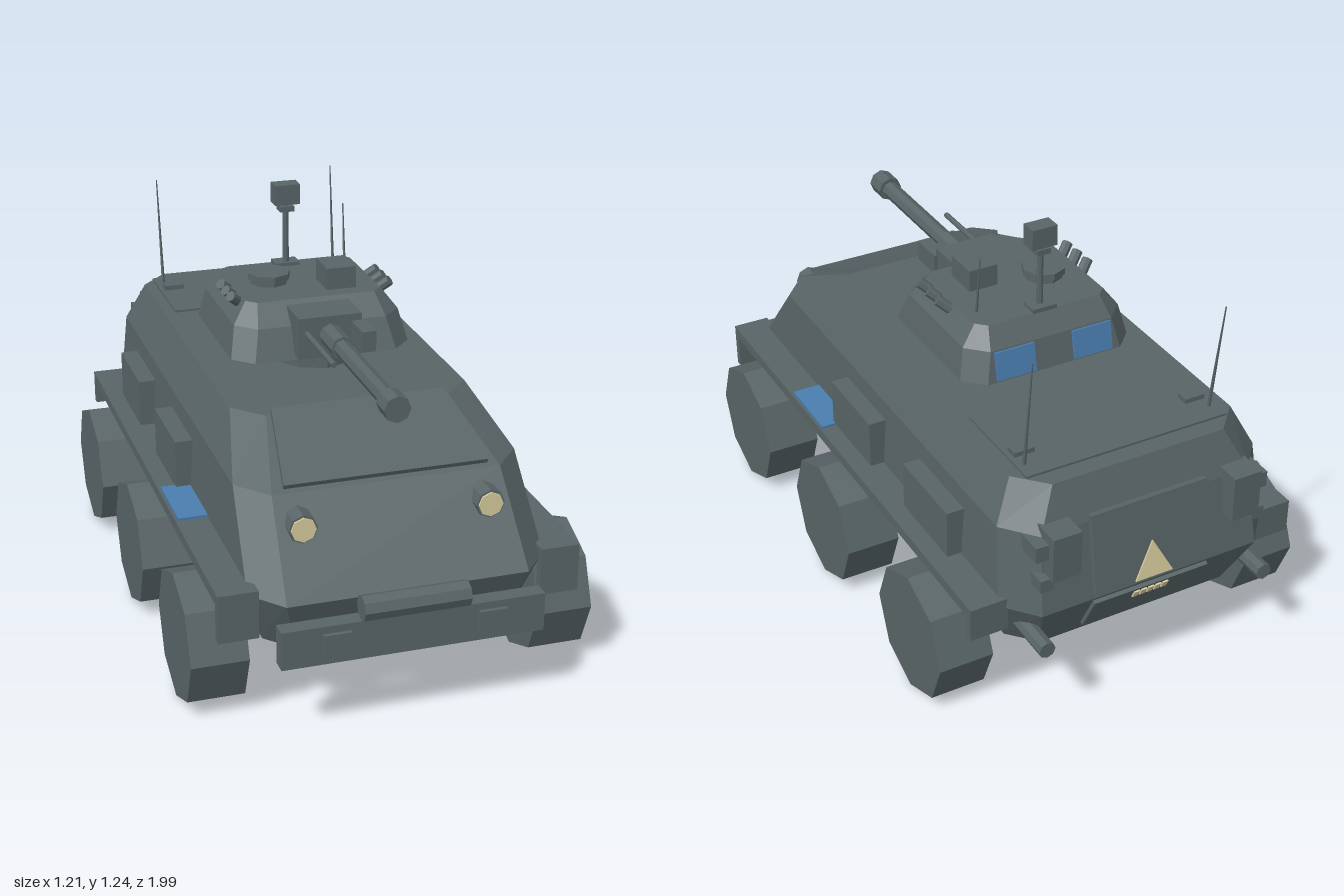
import * as THREE from 'three';

const armor = new THREE.MeshStandardMaterial({ color: 0x586466 });
armor.name = 'armorGrey';
const cream = new THREE.MeshStandardMaterial({ color: 0xd6ca9c });
cream.name = 'lampCream';
const blue = new THREE.MeshStandardMaterial({ color: 0x4a7dae });
blue.name = 'glassBlue';

// Faceted mesh with its own flat normals
function part(parent, name, geometry, material = armor) {
  const geo = geometry.index ? geometry.toNonIndexed() : geometry;
  geo.computeVertexNormals();
  const mesh = new THREE.Mesh(geo, material);
  mesh.name = name;
  parent.add(mesh);
  return mesh;
}

// Box given by its minimum and maximum on each axis
function box(parent, name, [x0, x1], [y0, y1], [z0, z1], material) {
  const geo = new THREE.BoxGeometry(Math.abs(x1 - x0), y1 - y0, z1 - z0);
  geo.translate((x0 + x1) / 2, (y0 + y1) / 2, (z0 + z1) / 2);
  return part(parent, name, geo, material);
}

// Cylinder between two points
function rod(parent, name, from, to, r0, r1 = r0, sides = 8, material) {
  const a = new THREE.Vector3(...from), b = new THREE.Vector3(...to);
  const mesh = part(parent, name, new THREE.CylinderGeometry(r1, r0, a.distanceTo(b), sides), material);
  mesh.position.copy(a).lerp(b, 0.5);
  mesh.quaternion.setFromUnitVectors(new THREE.Vector3(0, 1, 0), b.sub(a).normalize());
  return mesh;
}

// Solid lofted through octagonal plan sections, from the bottom up
function loft(sections) {
  const rings = sections.map(({ y, w, front, back, cx, cz }) => [
    [w - cx, y, front], [w, y, front - cz], [w, y, back + cz], [w - cx, y, back],
    [cx - w, y, back], [-w, y, back + cz], [-w, y, front - cz], [cx - w, y, front],
  ]);
  const pos = [];
  const tri = (...pts) => pts.forEach((p) => pos.push(...p));
  for (let r = 0; r < rings.length - 1; r++) {
    for (let i = 0; i < 8; i++) {
      const j = (i + 1) % 8, lo = rings[r], hi = rings[r + 1];
      tri(lo[i], lo[j], hi[j]);
      tri(lo[i], hi[j], hi[i]);
    }
  }
  const bottom = rings[0], top = rings[rings.length - 1];
  for (let i = 1; i < 7; i++) {
    tri(top[0], top[i], top[i + 1]);
    tri(bottom[0], bottom[i + 1], bottom[i]);
  }
  const geo = new THREE.BufferGeometry();
  geo.setAttribute('position', new THREE.Float32BufferAttribute(pos, 3));
  return geo;
}

function plate(points, depth) {
  const shape = new THREE.Shape(points.map(([x, y]) => new THREE.Vector2(x, y)));
  return new THREE.ExtrudeGeometry(shape, { depth, bevelEnabled: false });
}

// Group whose local y runs up a sloped hull face
function slope(parent, name, y, z, angle) {
  const g = new THREE.Group();
  g.name = name;
  g.position.set(0, y, z);
  g.rotation.x = angle;
  parent.add(g);
  return g;
}

function buildHull(root) {
  const hull = new THREE.Group();
  hull.name = 'hull';
  root.add(hull);
  part(hull, 'hullBody', loft([
    { y: 0.23, w: 0.385, front: 0.84, back: -0.865, cx: 0.075, cz: 0.08 },
    { y: 0.405, w: 0.442, front: 0.915, back: -0.955, cx: 0.085, cz: 0.1 },
    { y: 0.65, w: 0.426, front: 0.715, back: -0.915, cx: 0.085, cz: 0.1 },
    { y: 0.775, w: 0.365, front: 0.45, back: -0.865, cx: 0.085, cz: 0.09 },
  ]));
  box(hull, 'engineDeck', [-0.33, 0.33], [0.77, 0.782], [-0.81, -0.47]);

  // Glacis hatch
  const glacis = slope(hull, 'glacis', 0.66, 0.705, Math.atan2(-0.265, 0.125));
  part(glacis, 'glacisHatch', plate([[-0.305, 0], [0.305, 0], [0.265, 0.29], [-0.265, 0.29]], 0.015));

  // Bumper and winch
  box(hull, 'bumper', [-0.388, 0.388], [0.24, 0.357], [0.915, 0.965]);
  rod(hull, 'winch', [-0.156, 0.392, 0.955], [0.156, 0.392, 0.955], 0.038);

  // Rear door and lower panel with markings
  const rear = slope(hull, 'rearUpper', 0.405, -0.955, Math.atan2(0.04, 0.245));
  box(rear, 'rearDoor', [-0.19, 0.19], [0.015, 0.27], [-0.015, 0.01]);
  part(rear, 'warningTriangle', plate([[-0.062, 0.02], [0.062, 0.02], [0, 0.135]], 0.006), cream).position.z = -0.02;
  const low = slope(hull, 'rearLower', 0.405, -0.955, Math.atan2(-0.09, 0.175));
  box(low, 'lowerPanel', [-0.19, 0.19], [-0.15, -0.01], [-0.012, 0.01]);
  for (let i = -2; i <= 2; i++) {
    box(low, 'warningStripe', [i * 0.024 - 0.009, i * 0.024 + 0.009], [-0.05, -0.02], [-0.017, -0.01], cream);
  }

  for (const s of [-1, 1]) {
    const x = (a, b) => [s * a, s * b].sort((m, n) => m - n);
    box(hull, 'bumperBracket', x(0.24, 0.3), [0.28, 0.33], [0.82, 0.92]);
    box(hull, 'bumperBlock', x(0.187, 0.27), [0.275, 0.335], [0.96, 0.978]);

    // Headlight
    rod(hull, 'headlightHousing', [s * 0.277, 0.58, 0.73], [s * 0.277, 0.58, 0.808], 0.043);
    rod(hull, 'headlightLens', [s * 0.277, 0.58, 0.806], [s * 0.277, 0.58, 0.814], 0.037, 0.037, 8, cream);

    // Fender with end flaps, walkway plate and stowage
    box(hull, 'fender', x(0.42, 0.538), [0.402, 0.436], [-0.87, 0.855]);
    box(hull, 'frontFlap', x(0.42, 0.538), [0.29, 0.436], [0.83, 0.857]);
    box(hull, 'rearFlap', x(0.42, 0.538), [0.33, 0.436], [-0.872, -0.845]);
    box(hull, 'fenderPlate', x(0.44, 0.53), [0.436, 0.444], [0.14, 0.37], blue);
    box(hull, 'stowageBox', x(0.41, 0.485), [0.44, 0.592], [-0.12, 0.155]);
    box(hull, 'stowageBox', x(0.41, 0.485), [0.44, 0.592], [-0.63, -0.35]);

    // Rear fittings
    box(hull, 'rearCase', x(0.25, 0.34), [0.535, 0.68], [-0.98, -0.89]);
    box(hull, 'rearLamp', x(0.34, 0.38), [0.6, 0.65], [-0.955, -0.87]);
    box(hull, 'rearLamp', x(0.33, 0.37), [0.5, 0.54], [-0.965, -0.88]);
    rod(hull, 'towHook', [s * 0.365, 0.322, -0.82], [s * 0.365, 0.322, -1], 0.026);

    // Deck fittings and antenna
    box(hull, 'deckBlock', x(0.25, 0.315), [0.775, 0.797], [-0.715, -0.675]);
    rod(hull, 'antenna', [s * 0.305, 0.775, -0.752], [s * 0.308, 1.135, -0.797], 0.006, 0.002, 5);
  }
}

function buildTurret(root) {
  const turret = new THREE.Group();
  turret.name = 'turret';
  root.add(turret);
  rod(turret, 'turretRing', [0, 0.77, -0.1], [0, 0.815, -0.1], 0.25, 0.25, 12).scale.x = 0.66;
  part(turret, 'turretBody', loft([
    { y: 0.81, w: 0.285, front: 0.14, back: -0.395, cx: 0.06, cz: 0.06 },
    { y: 0.905, w: 0.264, front: 0.1, back: -0.372, cx: 0.06, cz: 0.06 },
    { y: 0.967, w: 0.218, front: 0.035, back: -0.328, cx: 0.03, cz: 0.03 },
  ]));

  // Gun
  box(turret, 'mantlet', [-0.1, 0.1], [0.825, 0.955], [0.02, 0.18]);
  rod(turret, 'barrelSleeve', [0, 0.895, 0.17], [0, 0.895, 0.3], 0.036);
  rod(turret, 'barrel', [0, 0.895, 0.29], [0, 0.895, 0.74], 0.028);
  rod(turret, 'muzzle', [0, 0.895, 0.715], [0, 0.895, 0.787], 0.04);
  rod(turret, 'coaxialGun', [-0.073, 0.905, 0.17], [-0.073, 0.905, 0.445], 0.009);
  box(turret, 'gunSight', [0.066, 0.11], [0.868, 0.933], [0.17, 0.285]);

  // Roof hatch, sight and sensor mast
  rod(turret, 'hatchBase', [-0.1, 0.96, -0.145], [-0.1, 0.985, -0.145], 0.06);
  rod(turret, 'hatchLid', [-0.1, 0.982, -0.145], [-0.1, 1.002, -0.145], 0.068);
  box(turret, 'roofSight', [0.05, 0.145], [0.96, 1.036], [-0.13, -0.015]);
  box(turret, 'mastFoot', [-0.04, 0.04], [0.96, 0.978], [-0.33, -0.275]);
  rod(turret, 'mast', [0, 0.96, -0.297], [0, 1.18, -0.297], 0.011, 0.009);
  box(turret, 'mastCollar', [-0.023, 0.023], [1.148, 1.165], [-0.32, -0.274]);
  box(turret, 'sensorHead', [-0.041, 0.041], [1.172, 1.237], [-0.324, -0.27]);
  rod(turret, 'turretAntenna', [0.18, 0.96, -0.24], [0.183, 1.162, -0.27], 0.005, 0.002, 5);

  for (const s of [-1, 1]) {
    // Rear window
    const win = part(turret, 'rearWindow', new THREE.BoxGeometry(0.13, 0.088, 0.009), blue);
    win.position.set(s * 0.13, 0.86, -0.388);
    win.rotation.x = 0.2;
    // Smoke launchers
    for (const z of [-0.155, -0.095, -0.035]) {
      rod(turret, 'smokeLauncher', [s * 0.215, 0.938, z - 0.012], [s * 0.258, 0.977, z + 0.014], 0.017);
    }
  }
}

function buildWheels(root) {
  for (const s of [-1, 1]) {
    for (const z of [0.617, 0, -0.617]) {
      const geo = new THREE.CylinderGeometry(0.2, 0.2, 0.17, 8).rotateZ(Math.PI / 2);
      part(root, 'wheel', geo).position.set(s * 0.522, 0.2, z);
    }
  }
}

export function createModel() {
  const root = new THREE.Group();
  root.name = 'armoredVehicle';
  buildHull(root);
  buildTurret(root);
  buildWheels(root);
  return root;
}
